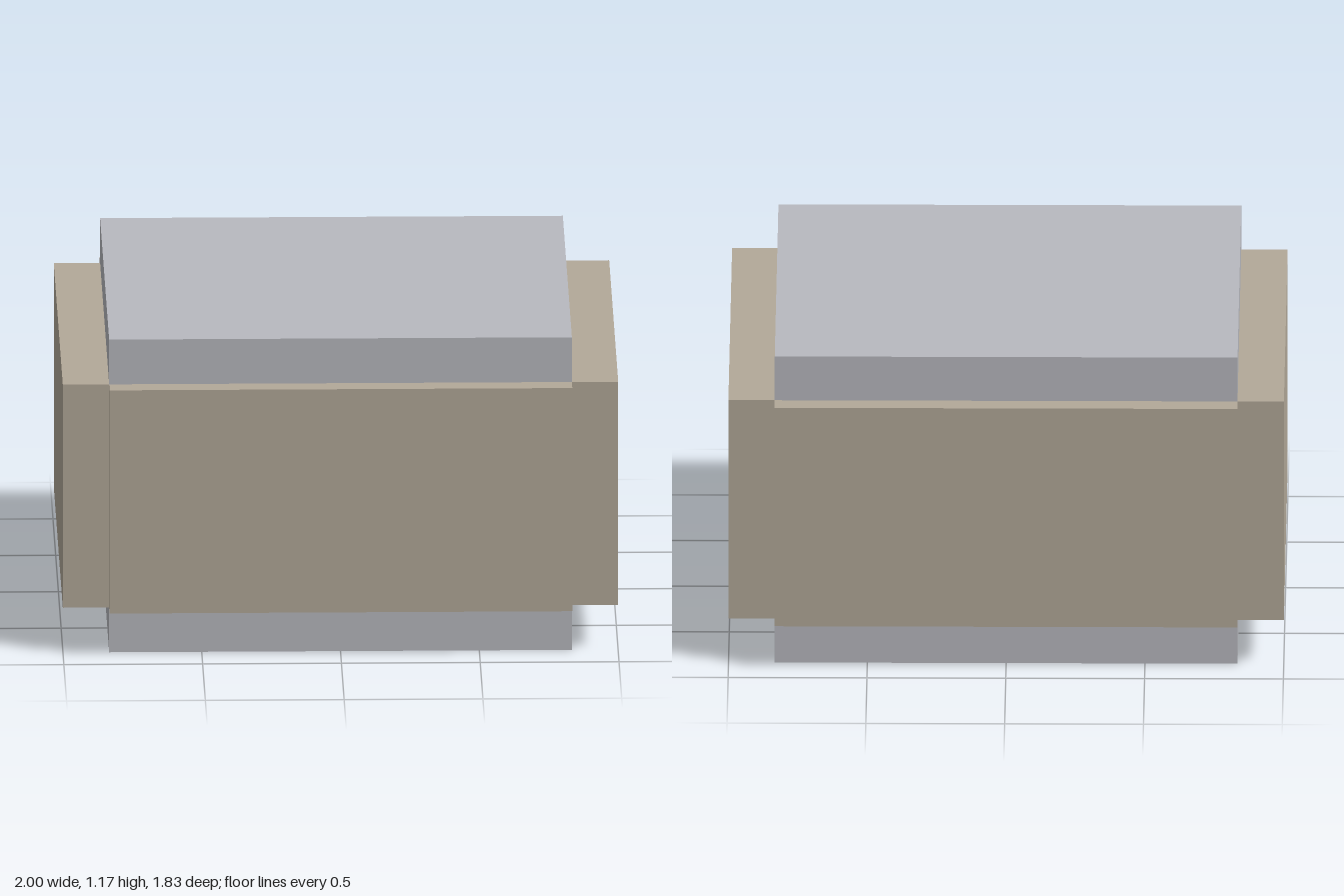
import * as THREE from 'three';

const SIZE = 1.667;      // width and depth of the core
const HEIGHT = 1.167;
const PANEL_LOW = 0.167, PANEL_HIGH = 1;
const SIDE_DEPTH = 0.167, END_DEPTH = 0.083;

export function createModel() {
  const group = new THREE.Group();
  const grey = new THREE.MeshStandardMaterial({ name: 'grey', color: 0xb8b9bf });
  const tan = new THREE.MeshStandardMaterial({ name: 'tan', color: 0xb3a999 });

  function addBox(name, material, size, position) {
    const mesh = new THREE.Mesh(new THREE.BoxGeometry(...size), material);
    mesh.name = name;
    mesh.position.set(...position);
    group.add(mesh);
  }

  // Square core block
  addBox('core', grey, [SIZE, HEIGHT, SIZE], [0, HEIGHT / 2, 0]);

  // Thick panels on the sides, thinner ones on front and back
  const panelHeight = PANEL_HIGH - PANEL_LOW;
  const panelY = (PANEL_HIGH + PANEL_LOW) / 2;
  for (const s of [1, -1]) {
    addBox(s > 0 ? 'leftPanel' : 'rightPanel', tan,
      [SIDE_DEPTH, panelHeight, SIZE], [s * (SIZE + SIDE_DEPTH) / 2, panelY, 0]);
    addBox(s > 0 ? 'frontPanel' : 'backPanel', tan,
      [SIZE, panelHeight, END_DEPTH], [0, panelY, s * (SIZE + END_DEPTH) / 2]);
  }

  return group;
}
